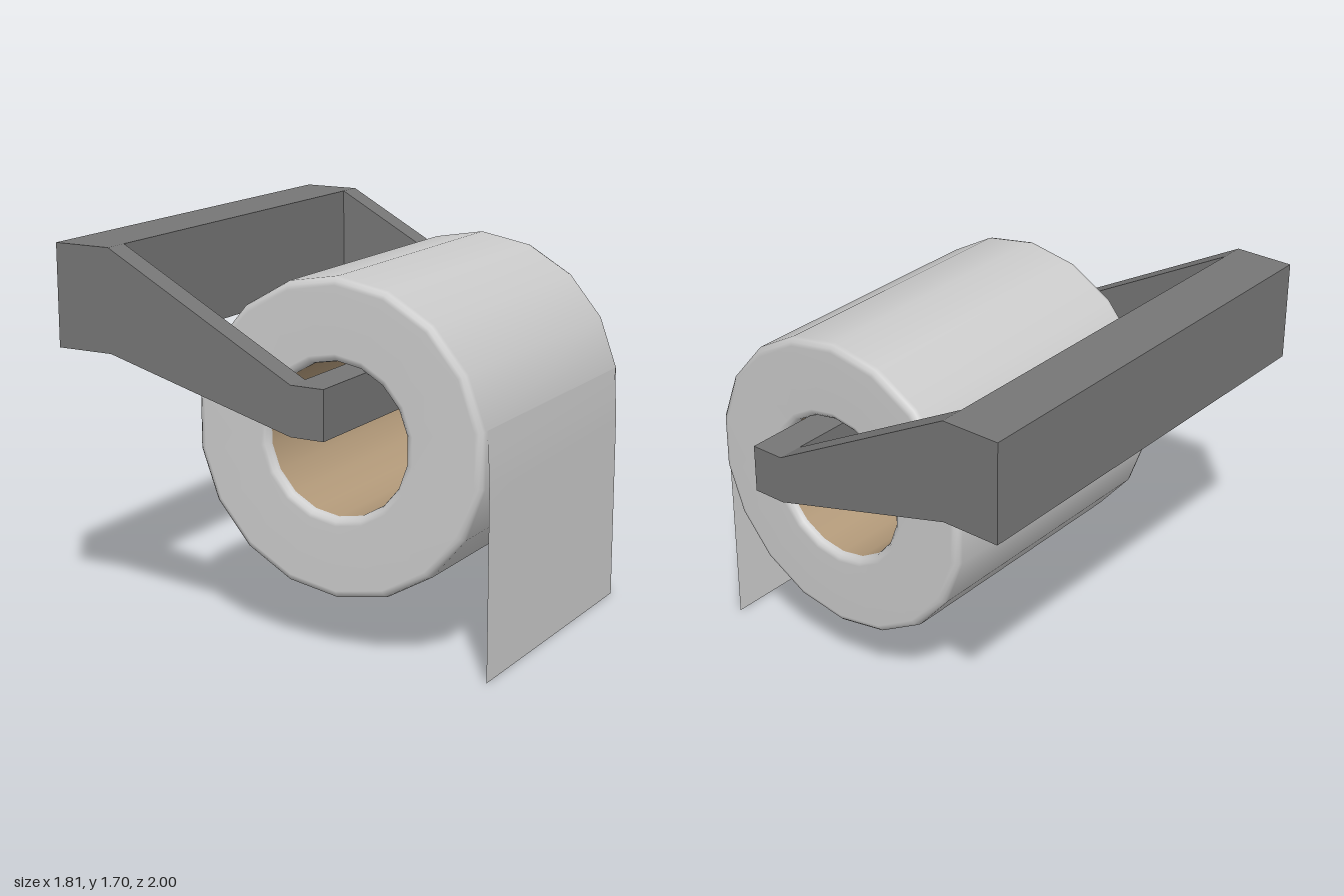
import * as THREE from 'three';

export function createModel() {
  const model = new THREE.Group();
  const holderMat = new THREE.MeshStandardMaterial({ color: 0x767676 });
  const paperMat = new THREE.MeshStandardMaterial({ color: 0xcccccc });
  const sheetMat = new THREE.MeshStandardMaterial({ color: 0xcccccc, side: THREE.DoubleSide });
  const coreMat = new THREE.MeshStandardMaterial({ color: 0xb39a7a, side: THREE.DoubleSide });

  const add = (name, geometry, material, parent = model) => {
    const mesh = new THREE.Mesh(geometry, material);
    mesh.name = name;
    parent.add(mesh);
    return mesh;
  };

  // Holder: two cranked arms joined by a wall bar and a roll bar
  const holder = new THREE.Group();
  holder.name = 'holder';
  model.add(holder);
  const armThickness = 0.11, inner = 1 - armThickness;
  const armShape = new THREE.Shape([
    [-0.907, 1.26], [-0.645, 1.26], [0.215, 1.02], [0.365, 1.02],
    [0.365, 1.23], [0.215, 1.23], [-0.645, 1.70], [-0.907, 1.70],
  ].map(([x, y]) => new THREE.Vector2(x, y)));
  const armGeometry = new THREE.ExtrudeGeometry(armShape, { depth: armThickness, bevelEnabled: false });
  add('frontArm', armGeometry, holderMat, holder).position.z = inner;
  add('backArm', armGeometry, holderMat, holder).position.z = -1;

  const bar = (name, x0, x1, y0, y1) => {
    const mesh = add(name, new THREE.BoxGeometry(x1 - x0, y1 - y0, 2 * inner), holderMat, holder);
    mesh.position.set((x0 + x1) / 2, (y0 + y1) / 2, 0);
  };
  bar('wallBar', -0.907, -0.645, 1.26, 1.70);
  bar('rollBar', 0.215, 0.365, 1.02, 1.23);

  // Paper roll: an 18-sided ring with softly rounded rims
  const roll = new THREE.Group();
  roll.name = 'roll';
  roll.position.set(0.225, 0.93, 0);
  model.add(roll);
  const sides = 18, outerR = 0.677, holeR = 0.327, half = 0.677, round = 0.035;
  const halfProfile = [];
  const corner = (cx, start) => {
    for (let i = 0; i <= 3; i++) {
      const a = start + (i / 3) * Math.PI / 2;
      halfProfile.push(new THREE.Vector2(cx + round * Math.cos(a), -half + round + round * Math.sin(a)));
    }
  };
  corner(holeR + round, Math.PI);
  corner(outerR - round, Math.PI * 1.5);
  const mirrored = halfProfile.map((p) => new THREE.Vector2(p.x, -p.y)).reverse();
  const rollGeometry = new THREE.LatheGeometry([...halfProfile, ...mirrored], sides);
  rollGeometry.rotateX(Math.PI / 2);
  add('paperRoll', rollGeometry, paperMat, roll);

  // Cardboard core lining the hole
  const coreGeometry = new THREE.CylinderGeometry(holeR, holeR, 2 * (half - round), sides, 1, true);
  coreGeometry.rotateX(Math.PI / 2);
  add('cardboardCore', coreGeometry, coreMat, roll);

  // Loose sheet leaving the roll and hanging straight down
  const path = [[0.892, 1.05], [0.9, 0.93], [0.905, 0.8], [0.905, 0.4], [0.905, 0]];
  const sheetGeometry = new THREE.PlaneGeometry(1.27, 1, 1, path.length - 1);
  sheetGeometry.rotateY(Math.PI / 2);
  const pos = sheetGeometry.attributes.position;
  for (let i = 0; i < pos.count; i++) {
    const [x, y] = path[Math.floor(i / 2)];
    pos.setXY(i, x, y);
  }
  sheetGeometry.computeVertexNormals();
  add('hangingSheet', sheetGeometry, sheetMat);

  return model;
}
